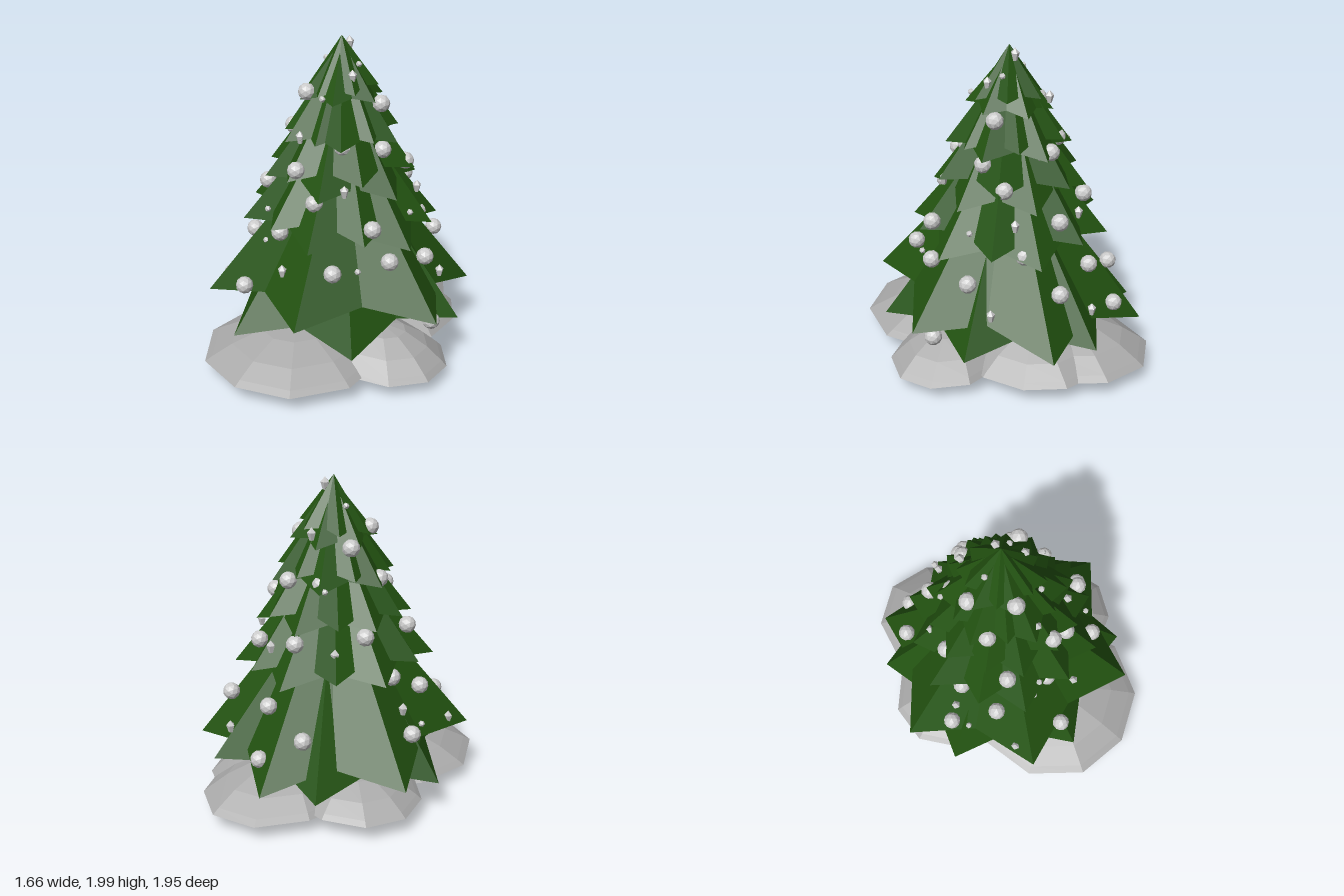
import * as THREE from 'three';

const mat = (color) => new THREE.MeshStandardMaterial({ color, flatShading: true });
const green = mat(0x225210), brown = mat(0x86625a), stone = mat(0xaaaaaa), grey = mat(0xcccccc);

function add(parent, name, geometry, material, x = 0, y = 0, z = 0) {
  const mesh = new THREE.Mesh(geometry, material);
  mesh.name = name;
  mesh.position.set(x, y, z);
  parent.add(mesh);
  return mesh;
}

// Six-pointed drooping star cone; its rim tilts by tiltX and tiltZ
function branchTier(rimY, radius, apexY, turn, tiltX, tiltZ) {
  const sides = 12, rim = [], pos = [];
  const apex = [0, apexY, 0];
  const under = [0, rimY + radius * 0.2, 0];
  for (let i = 0; i < sides; i++) {
    const a = THREE.MathUtils.degToRad(turn + i * 30);
    const valley = i % 2 === 1;
    const r = radius * (valley ? 0.73 : 1);
    const x = r * Math.cos(a), z = r * Math.sin(a);
    rim.push([x, rimY + (valley ? 0.11 * radius : 0) + tiltX * x + tiltZ * z, z]);
  }
  for (let i = 0; i < sides; i++) {
    const p = rim[i], q = rim[(i + 1) % sides];
    pos.push(...apex, ...q, ...p, ...under, ...p, ...q);
  }
  const g = new THREE.BufferGeometry();
  g.setAttribute('position', new THREE.Float32BufferAttribute(pos, 3));
  g.computeVertexNormals();
  return g;
}

// Flattened boulder with a sharp rim: domed above, a shallow cone below
function boulder(rx, rz, up, down, spin, seed) {
  const g = new THREE.SphereGeometry(1, 10, 8).rotateY(spin);
  const p = g.attributes.position;
  for (let i = 0; i < p.count; i++) {
    const x = p.getX(i), z = p.getZ(i), rho = Math.hypot(x, z);
    const wave = 1 + 0.02 * Math.sin(3 * Math.atan2(z, x) + seed) * rho;
    const y = p.getY(i) > 0 ? up * (1 - rho ** 2) : down * (rho ** 1.4 - 1);
    p.setXYZ(i, x * rx * wave, y, z * rz * wave);
  }
  g.computeVertexNormals();
  return g;
}

export function createModel() {
  const model = new THREE.Group();
  model.name = 'decoratedTree';

  // Boulders around the foot: x, y, z, rx, rz, up, down, spin
  const rocks = new THREE.Group();
  rocks.name = 'rocks';
  model.add(rocks);
  const quarter = Math.PI / 2;
  [
    [-0.04, 0.11, 0.39, 0.56, 0.59, 0.18, 0.08, quarter],
    [-0.01, 0.11, -0.42, 0.45, 0.56, 0.21, 0.09, quarter],
    [-0.35, 0.12, -0.17, 0.45, 0.40, 0.17, 0.08, 0],
    [0.40, 0.10, 0.13, 0.45, 0.35, 0.21, 0.08, quarter],
    [0.20, 0.11, -0.33, 0.39, 0.44, 0.21, 0.10, quarter],
  ].forEach(([x, y, z, ...size], i) =>
    add(rocks, 'rock', boulder(...size, i * 1.7), stone, x, y, z));

  // Trunk
  add(model, 'trunk', new THREE.CylinderGeometry(0.09, 0.11, 0.6, 8), brown, -0.01, 0.46, -0.02);

  // Foliage tiers: rim height, radius, apex height, turn, tilt x, tilt z
  const foliage = new THREE.Group();
  foliage.name = 'foliage';
  foliage.position.set(-0.01, 0, -0.03);
  model.add(foliage);
  [
    [0.28, 0.79, 1.36, -11, 0.05, -0.02],
    [0.38, 0.84, 1.44, 12, 0.05, 0.11],
    [0.86, 0.61, 1.62, 12, -0.05, 0.02],
    [0.91, 0.57, 1.66, 40, -0.04, 0.03],
    [1.14, 0.47, 1.78, 10, -0.08, 0],
    [1.21, 0.45, 1.83, 38, 0.03, 0.0],
    [1.40, 0.38, 1.92, -6, 0.02, 0.03],
    [1.44, 0.34, 1.94, 20, 0, -0.05],
    [1.63, 0.26, 1.97, 5, 0.05, 0.05],
    [1.69, 0.22, 2.0, 33, 0.08, -0.08],
  ].forEach((t) => add(foliage, 'branchTier', branchTier(...t), green));

  // Ornaments hung over the branches
  const ornaments = new THREE.Group();
  ornaments.name = 'ornaments';
  model.add(ornaments);

  const ball = new THREE.IcosahedronGeometry(0.053, 1);
  const balls = [
    [-0.13, 1.68, 0.15], [-0.05, 1.27, 0.36], [0.09, 1.10, 0.37], [-0.36, 1.10, 0.25],
    [0.42, 0.98, 0.25], [-0.48, 0.74, 0.25], [-0.49, 0.87, 0.0], [0.29, 0.74, 0.46],
    [-0.27, 0.55, 0.60], [0.12, 0.43, 0.58], [0.51, 0.78, 0.20], [0.72, 0.40, 0.06],
    [0.57, 0.72, -0.09], [-0.65, 0.55, 0.02], [0.15, 1.40, 0.17], [0.24, 1.62, -0.08],
    [0.29, 1.36, -0.03], [0.34, 1.25, -0.20], [0.35, 0.87, -0.34], [0.16, 1.04, -0.47],
    [0.33, 0.67, -0.57], [0.04, 1.41, -0.34], [-0.24, 1.62, -0.10], [-0.30, 1.42, 0.07],
    [-0.42, 1.14, -0.15], [-0.15, 0.86, 0.40], [-0.17, 1.42, -0.27], [-0.16, 1.10, -0.46],
    [-0.34, 0.58, -0.56], [-0.12, 0.43, -0.71], [-0.04, 0.70, -0.57],
  ];
  balls.forEach((p) => add(ornaments, 'ball', ball, grey, ...p));

  // Pointed crystals with a blunt lower end
  const profile = [[0, -0.036], [0.014, -0.036], [0.027, 0.01], [0, 0.04]];
  const drop = new THREE.LatheGeometry(profile.map(([x, y]) => new THREE.Vector2(x, y)), 5);
  const drops = [
    [0.01, 1.95, -0.08], [0.12, 1.79, 0.04], [-0.09, 1.44, 0.27], [0.24, 1.18, 0.28],
    [-0.03, 0.69, 0.53], [-0.55, 0.49, 0.44], [-0.58, 0.69, 0.01], [0.37, 1.06, -0.29],
    [0.58, 0.56, -0.25], [0.17, 0.53, -0.70], [0.0, 1.05, -0.51], [-0.08, 1.70, -0.26],
    [-0.35, 1.05, -0.32],
  ];
  drops.forEach((p) => add(ornaments, 'drop', drop, grey, ...p));

  const bead = new THREE.IcosahedronGeometry(0.02, 0);
  const beads = [
    [0.03, 1.68, 0.21], [-0.14, 1.84, -0.05], [0.10, 1.84, -0.05], [-0.24, 0.99, 0.40],
    [-0.27, 0.77, 0.39], [0.39, 0.74, 0.35], [-0.35, 1.25, 0.07], [0.48, 1.00, -0.05],
    [0.12, 1.40, -0.31], [-0.24, 1.40, -0.30], [-0.62, 0.57, 0.13],
  ];
  beads.forEach((p) => add(ornaments, 'bead', bead, grey, ...p));

  return model;
}
